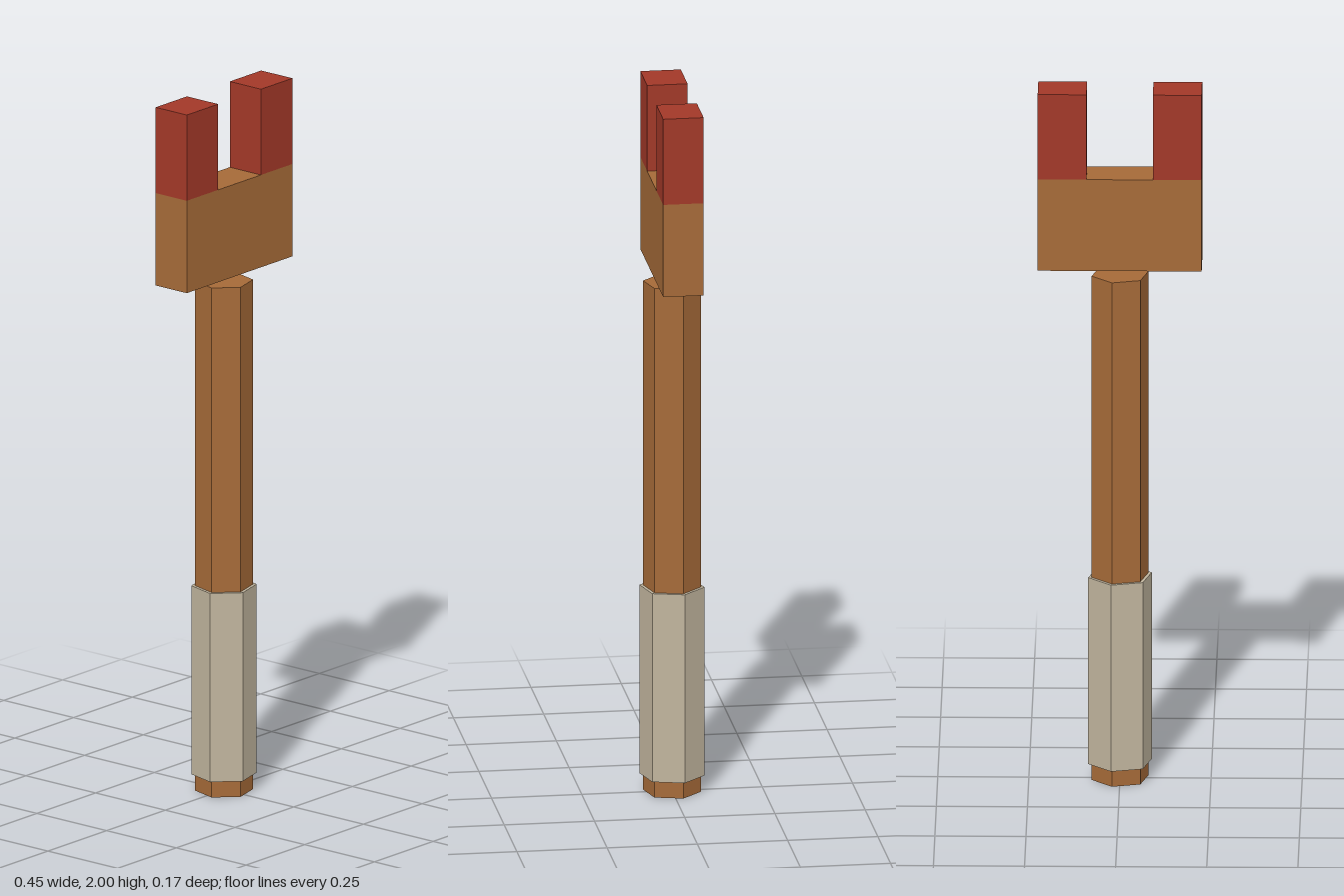
import * as THREE from 'three';

export function createModel() {
  const model = new THREE.Group();
  const material = (name, color) => {
    const m = new THREE.MeshStandardMaterial({ color, flatShading: true });
    m.name = name;
    return m;
  };
  const wood = material('wood', 0xa56a38);
  const red = material('red', 0xa23828);
  const wrap = material('wrap', 0xc0b49d);

  const add = (name, geometry, mat, x, y) => {
    const mesh = new THREE.Mesh(geometry, mat);
    mesh.name = name;
    mesh.position.set(x, y, 0);
    model.add(mesh);
  };

  // Six-sided bar between two heights, turned an eighth of a circle
  const hexBar = (name, radius, bottom, top, mat) =>
    add(name, new THREE.CylinderGeometry(radius, radius, top - bottom, 6, 1, false, Math.PI / 4),
      mat, 0, (bottom + top) / 2);

  // Box between two heights
  const block = (name, width, bottom, top, mat, x) =>
    add(name, new THREE.BoxGeometry(width, top - bottom, 0.112), mat, x, (bottom + top) / 2);

  // Handle with its grip
  hexBar('shaft', 0.08, 0, 1.462, wood);
  hexBar('grip', 0.09, 0.047, 0.588, wrap);

  // Forked head, set just above the shaft
  block('head', 0.45, 1.489, 1.754, wood, 0);
  block('leftProng', 0.134, 1.754, 2, red, 0.158);
  block('rightProng', 0.134, 1.754, 2, red, -0.158);

  return model;
}
